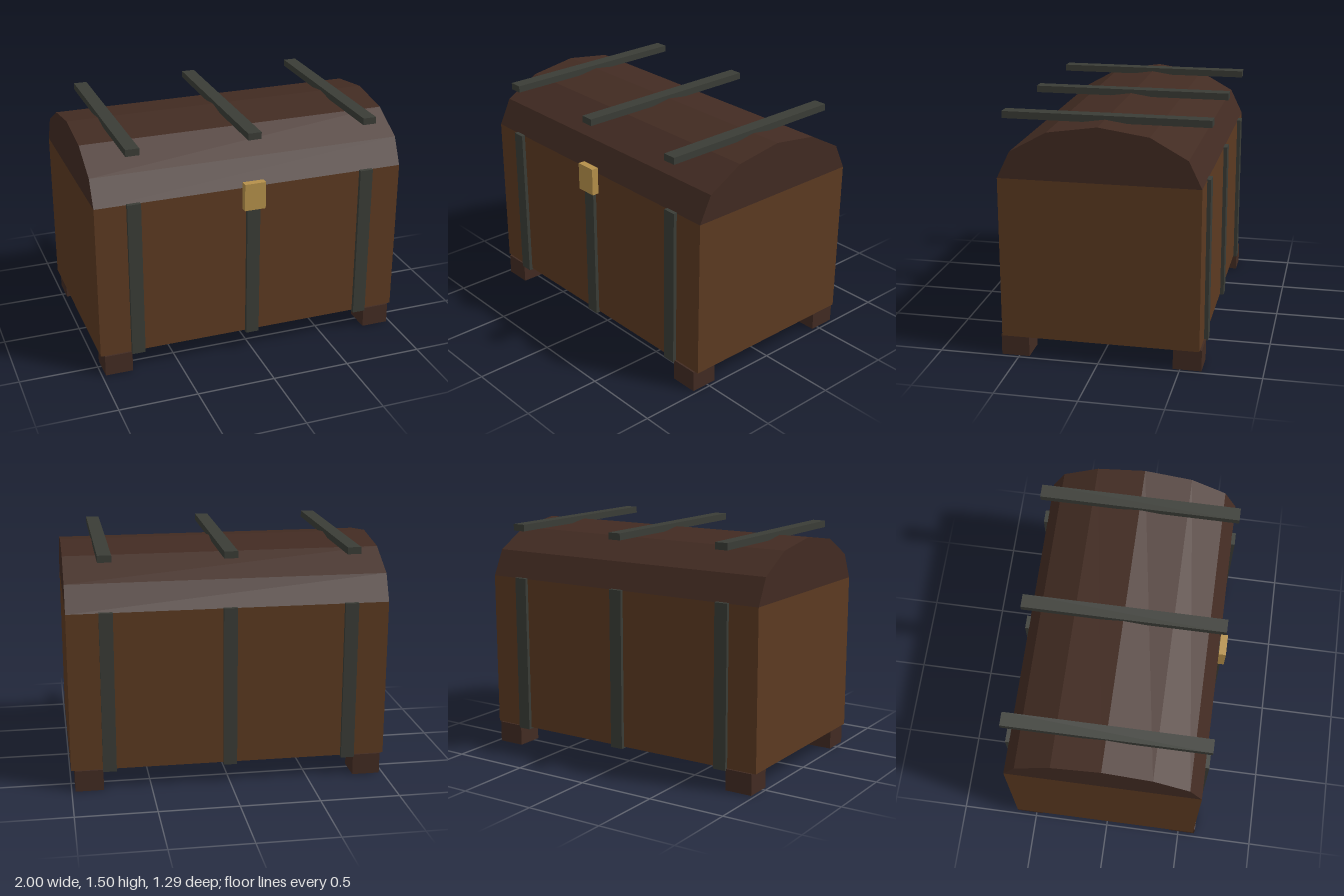
import * as THREE from 'three';

const material = (name, color) => {
  const m = new THREE.MeshStandardMaterial({ color });
  m.name = name;
  return m;
};

export function createModel() {
  const wood = material('brown wood', 0x5c3a21);
  const darkWood = material('dark wood', 0x422b22);
  const iron = material('dark iron', 0x3a3c36);
  const brass = material('brass', 0xb5904a);

  const chest = new THREE.Group();
  chest.name = 'chest';

  // Box given by its extents on each axis
  function box(name, mat, [x0, x1], [y0, y1], [z0, z1]) {
    const mesh = new THREE.Mesh(new THREE.BoxGeometry(x1 - x0, y1 - y0, z1 - z0), mat);
    mesh.position.set((x0 + x1) / 2, (y0 + y1) / 2, (z0 + z1) / 2);
    mesh.name = name;
    chest.add(mesh);
  }

  box('body', wood, [-1, 1], [0.135, 1.14], [-0.62, 0.6]);

  // Faceted barrel lid: profile in (z, y), extruded along x
  const profile = [
    [0.6, 1.14], [0.52, 1.305], [0.295, 1.43], [-0.01, 1.475],
    [-0.315, 1.43], [-0.54, 1.305], [-0.62, 1.14],
  ].map(([z, y]) => new THREE.Vector2(z, y));
  const lidGeometry = new THREE.ExtrudeGeometry(new THREE.Shape(profile), { depth: 2, bevelEnabled: false });
  lidGeometry.rotateY(-Math.PI / 2).translate(1, 0, 0);
  const lid = new THREE.Mesh(lidGeometry, darkWood);
  lid.name = 'lid';
  chest.add(lid);

  // Iron bands around the body and straight bars over the lid
  for (const x of [-0.76, 0, 0.76]) {
    const width = [x - 0.0425, x + 0.0425];
    box('bodyBand', iron, width, [0.125, 1.145], [-0.643, 0.623]);
    box('lidBar', iron, width, [1.455, 1.498], [-0.643, 0.623]);
  }

  // Corner feet
  for (const x of [[-0.977, -0.8], [0.8, 0.977]]) {
    for (const z of [[-0.632, -0.457], [0.437, 0.612]]) {
      box('foot', darkWood, x, [0, 0.135], z);
    }
  }

  box('latch', brass, [-0.068, 0.068], [1.003, 1.178], [0.6, 0.645]);

  return chest;
}
